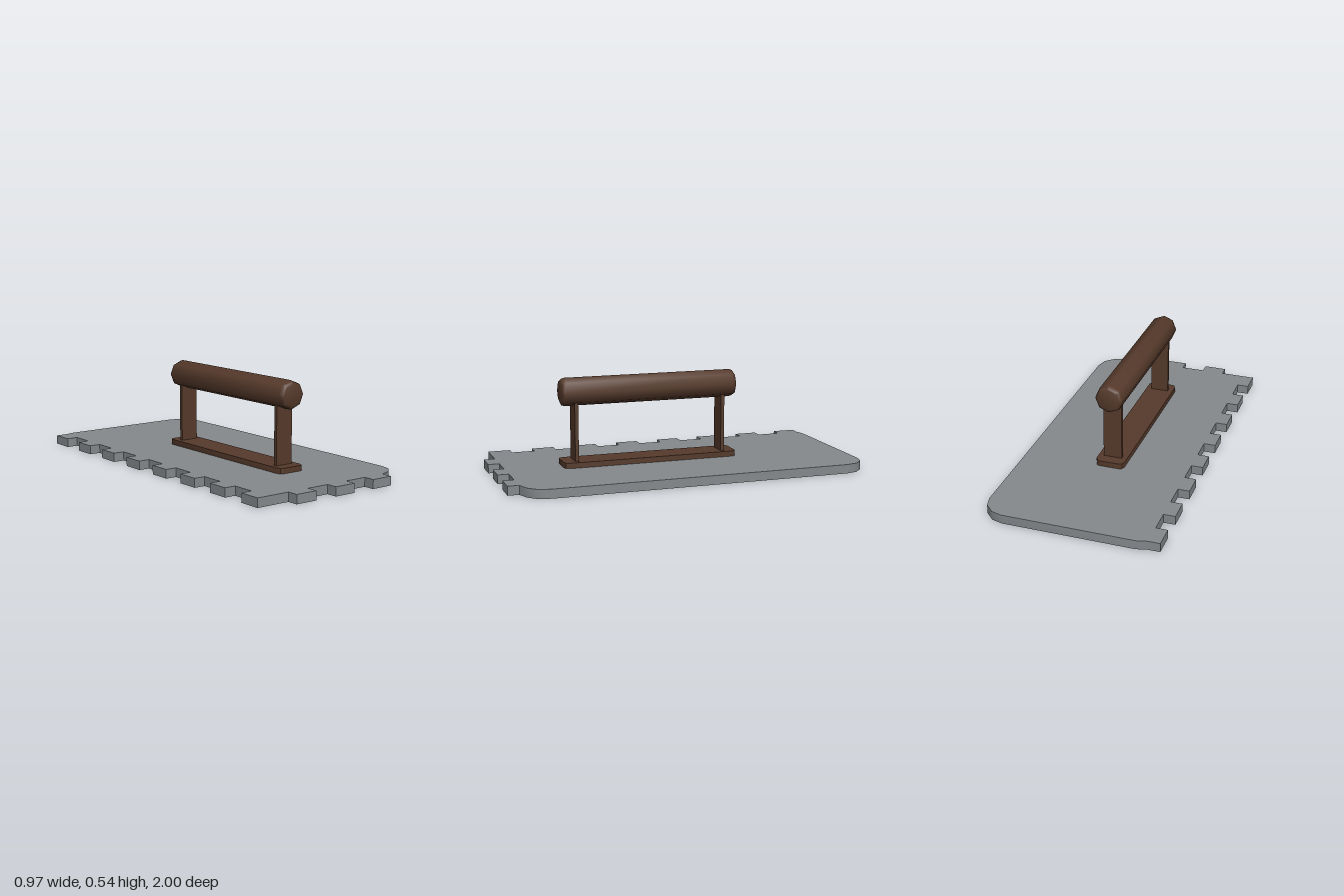
import * as THREE from 'three';
import { toCreasedNormals } from 'three/addons/utils/BufferGeometryUtils.js';

const steel = new THREE.MeshStandardMaterial({ color: 0x85898c });
steel.name = 'steel grey';
const wood = new THREE.MeshStandardMaterial({ color: 0x563a2b });
wood.name = 'dark brown wood';

// Flat slab from an [x, z] outline, standing on height y
function slab(outline, y, height) {
  const shape = new THREE.Shape(outline.map(([x, z]) => new THREE.Vector2(x, -z)));
  const geo = new THREE.ExtrudeGeometry(shape, { depth: height, bevelEnabled: false });
  geo.rotateX(-Math.PI / 2);
  geo.translate(0, y, 0);
  return toCreasedNormals(geo, 0.7);
}

function addMesh(group, name, geo, material) {
  const mesh = new THREE.Mesh(geo, material);
  mesh.name = name;
  group.add(mesh);
  return mesh;
}

// Blade outline: notched along -x and +z, rounded on the +x corners
function bladeOutline() {
  const pts = [];
  const pitch = 0.2565, tooth = 0.127;
  // side teeth, back to front
  pts.push([-0.36, -1], [-0.421, -0.985]);
  for (let i = 0; i < 8; i++) {
    const z = -0.985 + i * pitch;
    if (i > 0) pts.push([-0.421, z]);
    pts.push([-0.485, z], [-0.485, z + tooth]);
    if (i < 7) pts.push([-0.421, z + tooth]);
  }
  // front teeth, right to left
  for (let i = 0; i < 3; i++) {
    const x = -0.29 + i * 0.258;
    pts.push([x, 0.938], [x, 1], [x + tooth, 1], [x + tooth, 0.938]);
  }
  // rounded corners
  pts.push([0.42, 0.915], [0.468, 0.868], [0.485, 0.8]);
  pts.push([0.485, -0.87], [0.468, -0.935], [0.42, -0.983], [0.36, -1]);
  return pts;
}

export function createModel() {
  const model = new THREE.Group();
  model.name = 'notchedTrowel';

  addMesh(model, 'blade', slab(bladeOutline(), 0, 0.05), steel);

  const handle = new THREE.Group();
  handle.name = 'handle';
  handle.position.z = 0.125;
  model.add(handle);

  // Mounting plate with softened corners
  const corners = [];
  for (const [sx, sz, flip] of [[1, 1, 0], [1, -1, 1], [-1, -1, 0], [-1, 1, 1]]) {
    const c = [[0.055, 0.5], [0.072, 0.493], [0.081, 0.47]];
    if (flip) c.reverse();
    corners.push(...c.map(([x, z]) => [sx * x, sz * z]));
  }
  addMesh(handle, 'mountingPlate', slab(corners, 0.05, 0.03), wood);

  // Flat posts
  for (const [name, z] of [['frontPost', 0.425], ['backPost', -0.425]]) {
    const post = addMesh(handle, name, new THREE.BoxGeometry(0.104, 0.35, 0.02), wood);
    post.position.set(0, 0.245, z);
  }

  // Eight-sided grip with softened ends
  const profile = [
    [0, -0.504], [0.058, -0.504], [0.072, -0.498], [0.078, -0.48],
    [0.078, 0.48], [0.072, 0.498], [0.058, 0.504], [0, 0.504],
  ].map(([r, y]) => new THREE.Vector2(r, y));
  const gripGeo = new THREE.LatheGeometry(profile, 8);
  gripGeo.rotateX(Math.PI / 2);
  const grip = addMesh(handle, 'grip', toCreasedNormals(gripGeo, 0.9), wood);
  grip.position.y = 0.46;

  return model;
}
